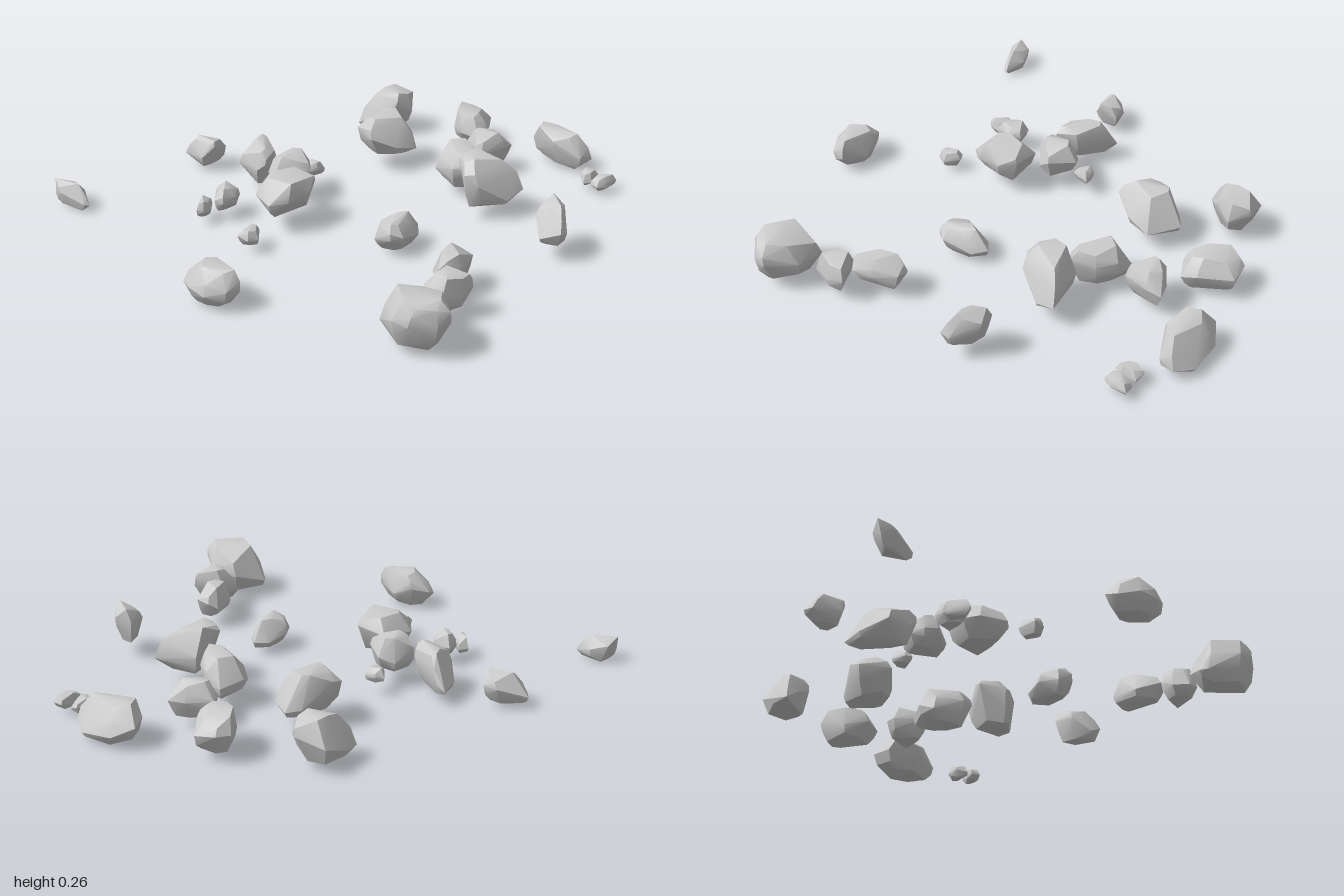
import * as THREE from 'three';
import { ConvexGeometry } from 'three/addons/geometries/ConvexGeometry.js';
import { toCreasedNormals } from 'three/addons/utils/BufferGeometryUtils.js';

const material = new THREE.MeshStandardMaterial({ color: 0xcccccc, roughness: 0.9 });

// Small seeded generator for the chipped irregularity of each stone
function seeded(seed) {
  let s = seed * 7919 + 17;
  return () => (s = (s * 16807) % 2147483647) / 2147483647;
}

// One stone: a convex hull of a wide waist, worn shoulders, a chipped crown and a narrower foot.
// plan = outline seen from above as x, z pairs; lean = shift of the crown [x, z],
// which also lifts the waist on the side it leans to.
function stone(name, seed, low, high, plan, lean = [0, 0]) {
  const rnd = seeded(seed);
  rnd();
  const n = plan.length / 2, h = high - low;
  let cx = 0, cz = 0;
  for (let i = 0; i < n; i++) {
    cx += plan[2 * i] / n;
    cz += plan[2 * i + 1] / n;
  }
  const points = [];
  for (let i = 0; i < n; i++) {
    const x = plan[2 * i] - cx, z = plan[2 * i + 1] - cz;
    const add = (scale, y, shift = 0) => points.push(new THREE.Vector3(
      cx + x * scale + lean[0] * shift, low + h * y, cz + z * scale + lean[1] * shift));
    const tilt = 50 * (x * lean[0] + z * lean[1]);
    const waist = THREE.MathUtils.clamp(0.28 + 0.34 * rnd() + tilt, 0.12, 0.8);
    add(1, waist);
    if (i % 2) add(0.86 + 0.08 * rnd(), waist + (1 - waist) * 0.5, 0.5);      // shoulder
    else add(0.84 + 0.1 * rnd(), waist * 0.45);                               // worn lower edge
    add(0.48 + 0.24 * rnd(), i % 3 ? 0.82 + 0.14 * rnd() : 1, 1);             // crown
    add(0.5 + 0.25 * rnd(), i % 3 === 1 ? 0 : 0.02 + 0.1 * rnd());            // foot
  }
  const mesh = new THREE.Mesh(toCreasedNormals(new ConvexGeometry(points), 0.5), material);
  mesh.name = name;
  return mesh;
}

export function createModel() {
  const group = new THREE.Group();
  group.name = 'scatteredStones';
  let seed = 1;
  const put = (name, ...args) => group.add(stone(name, seed++, ...args));

  // Back row
  put('backLongStone', 0.01, 0.17, [0.14, -0.95, 0.22, -1, 0.36, -1, 0.43, -0.95, 0.42, -0.88, 0.31, -0.835, 0.17, -0.87], [0, 0.03]);
  put('backPebbleInner', 0.02, 0.08, [0.48, -0.83, 0.5, -0.87, 0.54, -0.86, 0.55, -0.79, 0.53, -0.76, 0.49, -0.79]);
  put('backPebbleOuter', 0.02, 0.08, [0.56, -0.81, 0.58, -0.87, 0.62, -0.87, 0.62, -0.8, 0.6, -0.76, 0.56, -0.77]);
  put('backSlantedStone', 0.03, 0.18, [-0.215, -0.83, -0.18, -0.88, -0.09, -0.89, -0.01, -0.77, 0, -0.7, -0.07, -0.665, -0.16, -0.72], [-0.01, 0.01]);
  put('backRightStone', 0.03, 0.205, [-0.56, -0.73, -0.44, -0.75, -0.38, -0.68, -0.41, -0.6, -0.5, -0.53, -0.56, -0.52, -0.58, -0.61], [0.02, -0.02]);

  // Inner back cluster
  put('innerRightStone', 0.06, 0.235, [-0.25, -0.54, -0.14, -0.45, -0.16, -0.34, -0.22, -0.25, -0.35, -0.3, -0.35, -0.37, -0.3, -0.5], [-0.02, 0.01]);
  put('wedgeStone', 0.04, 0.19, [0.01, -0.64, 0.1, -0.7, 0.17, -0.72, 0.18, -0.66, 0.15, -0.54, 0.12, -0.53, 0.02, -0.6]);
  put('innerMiddleStone', 0.05, 0.215, [0.07, -0.52, 0.14, -0.51, 0.22, -0.45, 0.26, -0.35, 0.19, -0.31, 0.06, -0.35, 0.03, -0.42], [0.015, 0]);
  put('tallStone', 0.06, 0.265, [0.28, -0.4, 0.47, -0.43, 0.46, -0.34, 0.4, -0.23, 0.34, -0.21, 0.26, -0.28], [-0.04, 0.01]);
  put('farLeftStone', 0.07, 0.23, [0.69, -0.31, 0.77, -0.31, 0.85, -0.23, 0.85, -0.19, 0.77, -0.16, 0.71, -0.21], [-0.01, -0.03]);

  // Right side cluster
  put('farRightStone', 0.02, 0.145, [-0.9, 0.2, -0.8, 0.12, -0.74, 0.12, -0.73, 0.2, -0.76, 0.24, -0.88, 0.23], [0.03, 0]);
  put('rightWedgeStone', 0.04, 0.2, [-0.62, 0.03, -0.58, 0.03, -0.43, 0.11, -0.4, 0.2, -0.43, 0.22, -0.54, 0.22, -0.61, 0.12], [0.025, 0]);
  put('rightInnerStone', 0.07, 0.21, [-0.31, 0.03, -0.22, 0.11, -0.23, 0.16, -0.31, 0.22, -0.37, 0.21, -0.4, 0.16, -0.37, 0.06]);
  put('rightPebble', 0.06, 0.12, [-0.37, -0.02, -0.34, -0.04, -0.29, -0.04, -0.29, 0, -0.31, 0.04, -0.34, 0.03]);
  put('roundStone', 0.07, 0.22, [-0.24, 0.19, -0.11, 0.19, -0.07, 0.26, -0.08, 0.37, -0.13, 0.43, -0.24, 0.4, -0.28, 0.34], [0.015, -0.01]);
  put('smallStone', 0.04, 0.14, [-0.44, 0.38, -0.37, 0.37, -0.34, 0.42, -0.35, 0.48, -0.39, 0.49, -0.44, 0.44]);
  put('rightFrontPebble', 0.03, 0.1, [-0.47, 0.49, -0.44, 0.46, -0.39, 0.51, -0.39, 0.55, -0.41, 0.57, -0.44, 0.53]);
  put('middlePebble', 0.03, 0.1, [-0.14, 0.51, -0.11, 0.5, -0.06, 0.55, -0.08, 0.59, -0.13, 0.6]);

  // Left side cluster
  put('pointedStone', 0.02, 0.145, [0.3, 0.02, 0.35, 0.07, 0.38, 0.19, 0.35, 0.23, 0.27, 0.24, 0.23, 0.16, 0.25, 0.06], [0, 0.02]);
  put('leftLongStone', 0.05, 0.18, [0.61, 0.18, 0.64, 0.15, 0.7, 0.15, 0.74, 0.25, 0.74, 0.35, 0.71, 0.37, 0.63, 0.3]);
  put('leftInnerStone', 0.04, 0.19, [0.72, 0.36, 0.84, 0.31, 0.85, 0.38, 0.82, 0.47, 0.75, 0.5, 0.7, 0.45], [0.01, -0.02]);
  put('largeStone', 0.03, 0.23, [0.68, 0.63, 0.75, 0.5, 0.88, 0.5, 0.98, 0.59, 0.97, 0.65, 0.89, 0.72, 0.82, 0.73, 0.7, 0.66], [0.03, 0]);

  // Front row
  put('frontCornerStone', 0, 0.11, [-0.98, 0.85, -0.96, 0.78, -0.9, 0.76, -0.82, 0.8, -0.83, 0.82, -0.93, 0.86], [-0.03, 0]);
  put('frontStone', 0.01, 0.165, [-0.04, 0.9, 0.02, 0.85, 0.11, 0.84, 0.21, 0.89, 0.2, 0.95, 0.13, 1, 0.05, 1, -0.03, 0.96], [0.015, -0.01]);

  return group;
}
